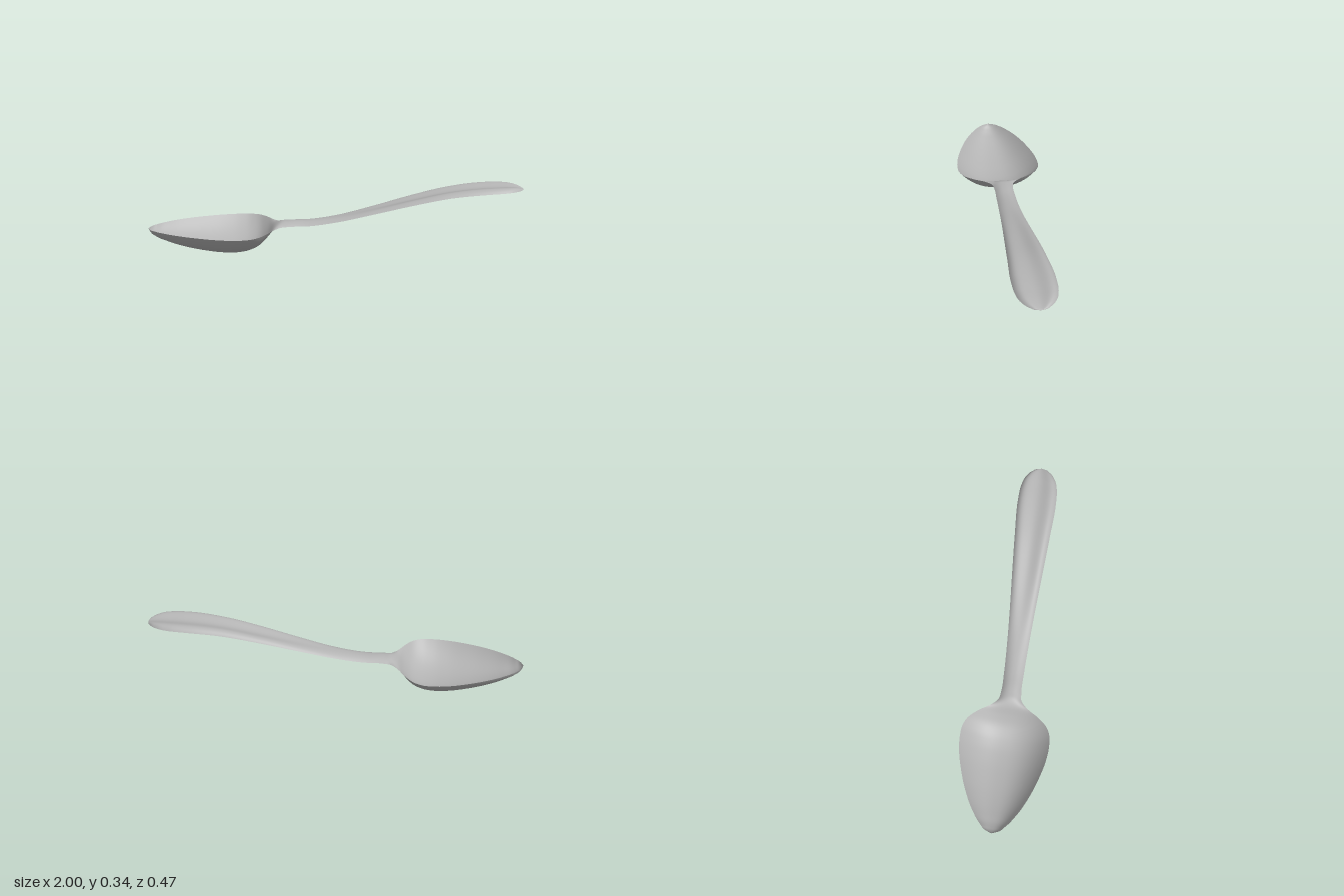
import * as THREE from 'three';

// Stations along the spoon: x, half width, edge height, centre height, groove strength
const stations = [
  [-1, 0, 0.126, 0.126, 0],
  [-0.99, 0.028, 0.126, 0.112, 0],
  [-0.96, 0.064, 0.127, 0.09, 0],
  [-0.9, 0.11, 0.128, 0.066, 0],
  [-0.8, 0.163, 0.128, 0.037, 0],
  [-0.7, 0.2, 0.127, 0.018, 0],
  [-0.6, 0.226, 0.126, 0.007, 0],
  [-0.52, 0.234, 0.126, 0.008, 0],
  [-0.46, 0.228, 0.127, 0.021, 0],
  [-0.41, 0.201, 0.129, 0.047, 0],
  [-0.37, 0.153, 0.131, 0.087, 0],
  [-0.335, 0.097, 0.133, 0.13, 0],
  [-0.3, 0.062, 0.135, 0.152, 0],
  [-0.26, 0.054, 0.137, 0.157, 0],
  [-0.15, 0.053, 0.139, 0.159, 0],
  [0, 0.058, 0.16, 0.177, 0.001],
  [0.2, 0.069, 0.205, 0.218, 0.006],
  [0.4, 0.083, 0.253, 0.263, 0.012],
  [0.6, 0.096, 0.294, 0.304, 0.015],
  [0.8, 0.105, 0.314, 0.324, 0.016],
  [0.88, 0.099, 0.317, 0.326, 0.015],
  [0.94, 0.08, 0.318, 0.325, 0.012],
  [0.98, 0.047, 0.317, 0.321, 0.006],
  [0.995, 0.022, 0.316, 0.318, 0.002],
  [1, 0, 0.316, 0.316, 0],
];
const SUB = 5, ACROSS = 32, THICKNESS = 0.006;

// Smooth interpolation between stations i and i + 1
function sample(i, t) {
  const last = stations.length - 1;
  const a = stations[i], b = stations[i + 1], h = b[0] - a[0];
  const slope = (j, k) => {
    const p = stations[Math.max(j - 1, 0)], c = stations[j], n = stations[Math.min(j + 1, last)];
    if (j === 0 || j === last) return (n[k] - p[k]) / (n[0] - p[0]);
    const h0 = c[0] - p[0], h1 = n[0] - c[0];
    return (h1 * (c[k] - p[k]) / h0 + h0 * (n[k] - c[k]) / h1) / (h0 + h1);
  };
  const t2 = t * t, t3 = t2 * t;
  return a.map((v, k) => k === 0 ? v + h * t
    : (2 * t3 - 3 * t2 + 1) * v + (t3 - 2 * t2 + t) * h * slope(i, k)
      + (3 * t2 - 2 * t3) * b[k] + (t3 - t2) * h * slope(i + 1, k));
}

// One skin of the spoon; the underside sits lower and meets the top at the edge
function skin(under) {
  const pos = [], index = [];
  const rows = (stations.length - 1) * SUB;
  for (let r = 0; r <= rows; r++) {
    const i = Math.min(Math.floor(r / SUB), stations.length - 2);
    const [x, w, edge, centre, groove] = sample(i, r / SUB - i);
    for (let c = 0; c <= ACROSS; c++) {
      const s = Math.sin((c / ACROSS - 0.5) * Math.PI), q = s * s;
      let y = edge + (centre - edge) * (1 - Math.pow(Math.abs(s), 2.4)) + groove * 4 * q * (1 - q);
      if (under) y -= THICKNESS * (1 - q * q) * Math.min(1, w / 0.05);
      pos.push(x, y, w * s);
    }
  }
  const n = ACROSS + 1;
  for (let r = 0; r < rows; r++) {
    for (let c = 0; c < ACROSS; c++) {
      const a = r * n + c, b = a + 1, d = a + n, e = d + 1;
      if (under) index.push(a, d, b, b, d, e);
      else index.push(a, b, d, b, e, d);
    }
  }
  const g = new THREE.BufferGeometry();
  g.setAttribute('position', new THREE.Float32BufferAttribute(pos, 3));
  g.setIndex(index);
  g.computeVertexNormals();
  return g;
}

export function createModel() {
  const group = new THREE.Group();
  group.name = 'spoon';
  const steel = new THREE.MeshStandardMaterial({ color: 0xb4b4b4 });
  steel.name = 'steel';

  // Upper and lower faces of bowl, neck and handle
  for (const under of [false, true]) {
    const mesh = new THREE.Mesh(skin(under), steel);
    mesh.name = under ? 'spoonUnderside' : 'spoonTop';
    group.add(mesh);
  }
  return group;
}
